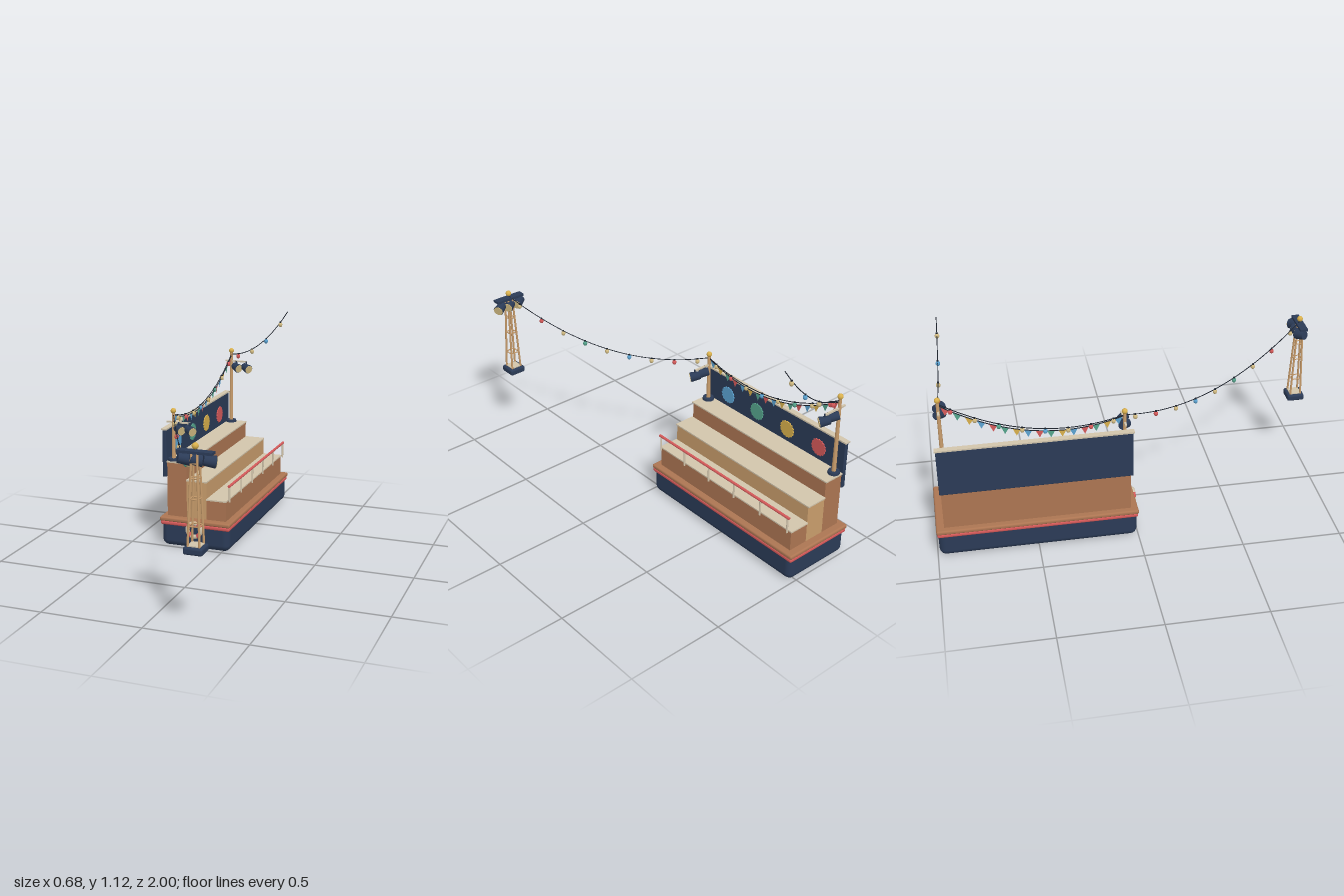
import * as THREE from 'three';
import { RoundedBoxGeometry } from 'three/addons/geometries/RoundedBoxGeometry.js';

const mat = (name, color, extra = {}) => {
  const m = new THREE.MeshStandardMaterial({ color, ...extra });
  m.name = name;
  return m;
};
const V = (x, y, z) => new THREE.Vector3(x, y, z);

export function createModel() {
  const root = new THREE.Group();
  root.name = 'floatingGrandstand';
  const navy = mat('navy', 0x2b3b57), wood = mat('wood', 0xac7552), tan = mat('tan', 0xc99d6c);
  const cream = mat('cream', 0xd2c5ac), cable = mat('cable', 0x1c222c), warm = mat('warmGlass', 0xd2bb82);
  const two = { side: THREE.DoubleSide };
  const red = mat('red', 0xd65a5a, two), yellow = mat('yellow', 0xd9b04c, two);
  const green = mat('green', 0x55a48c, two), blue = mat('blue', 0x5ba3d2, two);

  const add = (name, geo, material, x = 0, y = 0, z = 0, parent = root) => {
    const m = new THREE.Mesh(geo, material);
    m.name = name;
    m.position.set(x, y, z);
    parent.add(m);
    return m;
  };
  // Box given by its limits, optionally with rounded edges
  const box = (name, material, x0, x1, y0, y1, z0, z1, r = 0) => {
    const s = [x1 - x0, y1 - y0, z1 - z0];
    const g = r ? new RoundedBoxGeometry(...s, 4, r) : new THREE.BoxGeometry(...s);
    return add(name, g, material, (x0 + x1) / 2, (y0 + y1) / 2, (z0 + z1) / 2);
  };
  // Round bar between two points
  const bar = (name, material, a, b, r0, r1 = r0, sides = 12) => {
    const d = b.clone().sub(a);
    const m = add(name, new THREE.CylinderGeometry(r1, r0, d.length(), sides), material);
    m.position.copy(a).add(b).multiplyScalar(0.5);
    m.quaternion.setFromUnitVectors(V(0, 1, 0), d.normalize());
    return m;
  };

  // Hull, rubbing band and deck
  box('hull', navy, -0.335, 0.038, 0, 0.15, -0.99, -0.005, 0.034);
  box('rubbingBand', red, -0.338, 0.042, 0.115, 0.137, -0.995, -0.001, 0.009);
  box('deck', wood, -0.342, 0.045, 0.135, 0.158, -0.998, 0.002, 0.009);

  // Three seating steps with pale treads
  [[-0.31, -0.203, 0.445, wood], [-0.203, -0.094, 0.355, tan], [-0.094, 0.012, 0.262, wood]].forEach(([x0, x1, h, m]) => {
    box('step', m, x0, x1, 0.155, h, -0.958, -0.035);
    box('stepTread', cream, x0 - 0.001, x1 + 0.003, h, h + 0.007, -0.964, -0.029);
  });

  // Front rail
  for (let i = 0; i < 6; i++) {
    const z = -0.05 - i * 0.179;
    bar('railPost', cream, V(0.027, 0.262, z), V(0.027, 0.348, z), 0.005);
  }
  bar('handRail', red, V(0.027, 0.347, -0.04), V(0.027, 0.347, -0.955), 0.007);

  // Back board with scalloped discs
  box('backBoard', navy, -0.332, -0.311, 0.368, 0.618, -0.965, -0.025, 0.004);
  box('backBoardCap', cream, -0.336, -0.307, 0.617, 0.625, -0.97, -0.02);
  const scallop = new THREE.Shape();
  for (let i = 0; i < 32; i++) {
    const a = i * Math.PI / 16, r = i % 2 ? 0.041 : 0.046;
    scallop[i ? 'lineTo' : 'moveTo'](r * Math.cos(a), r * Math.sin(a));
  }
  const discGeo = new THREE.ExtrudeGeometry(scallop, { depth: 0.006, bevelEnabled: false });
  [blue, green, yellow, red].forEach((m, i) => {
    add('boardDisc', discGeo, m, -0.312, 0.52, -0.18 - i * 0.2085).rotation.y = Math.PI / 2;
  });

  // Life ring with red quarters
  const ring = new THREE.Group();
  ring.name = 'lifeRing';
  ring.position.set(-0.148, 0.107, 0.004);
  root.add(ring);
  for (let i = 0; i < 8; i++) {
    const arc = i % 2 ? Math.PI * 0.32 : Math.PI * 0.18;
    const seg = add('ringSegment', new THREE.TorusGeometry(0.036, 0.0115, 12, 10, arc), i % 2 ? cream : red, 0, 0, 0, ring);
    seg.rotation.z = Math.PI / 4 * (i + 1) - arc / 2;
  }

  // Spotlight aimed along a direction
  const lamp = (x, y, z, dir, s = 1) => {
    const g = new THREE.Group();
    g.name = 'spotlight';
    g.position.set(x, y, z);
    g.quaternion.setFromUnitVectors(V(0, 1, 0), dir.clone().normalize());
    g.scale.setScalar(s);
    root.add(g);
    add('lampBody', new THREE.CylinderGeometry(0.025, 0.02, 0.05, 16), navy, 0, 0, 0, g);
    add('lampLens', new THREE.CylinderGeometry(0.0225, 0.0225, 0.006, 16), warm, 0, 0.025, 0, g);
    box('lampBracket', navy, x - 0.004, x + 0.004, y, y + 0.038, z - 0.004, z + 0.004);
  };

  // Poles with foot, crossbar, lamps and finial
  const px = -0.283;
  [[-0.06, 0.705], [-0.932, 0.86]].forEach(([z, top]) => {
    add('poleFoot', new THREE.CylinderGeometry(0.028, 0.03, 0.013, 20), navy, px, 0.458, z);
    bar('pole', tan, V(px, 0.45, z), V(px, top, z), 0.011, 0.008);
    add('poleFinial', new THREE.SphereGeometry(0.014, 16, 12), yellow, px, top + 0.01, z);
    const y = top - 0.05;
    box('crossbar', cream, -0.319, -0.19, y - 0.004, y + 0.004, z - 0.005, z + 0.005);
    [-0.252, -0.192].forEach(x => lamp(x, y - 0.035, z + 0.003, V(0.8, -0.2, 0.56)));
  });

  // Lattice lamp tower
  const tx = 0.238, tz = 0.953;
  box('towerBase', navy, tx - 0.045, tx + 0.045, 0.366, 0.4, tz - 0.045, tz + 0.045, 0.01);
  box('towerBaseCap', cream, tx - 0.03, tx + 0.03, 0.399, 0.405, tz - 0.03, tz + 0.03);
  const corner = (k, y) => {
    const s = 0.027 - 0.014 * (y - 0.4) / 0.41, a = Math.PI / 4 + k * Math.PI / 2;
    return V(tx + s * Math.SQRT2 * Math.cos(a), y, tz + s * Math.SQRT2 * Math.sin(a));
  };
  for (let k = 0; k < 4; k++) {
    bar('towerLeg', tan, corner(k, 0.4), corner(k, 0.812), 0.0055, 0.0055, 8);
    [0.49, 0.56, 0.61, 0.7, 0.765].forEach((y, i) => {
      if (i !== 1) bar('towerRung', tan, corner(k, y), corner(k + 1, y), 0.003, 0.003, 6);
    });
  }
  box('towerCrossbar', navy, 0.156, 0.32, 0.808, 0.82, tz - 0.02, tz + 0.02);
  add('towerFinial', new THREE.SphereGeometry(0.015, 16, 12), yellow, tx, 0.84, tz);
  [-0.055, 0, 0.06].forEach(dx => lamp(tx + dx, 0.777, tz - 0.008, V(0.85, -0.2, -0.5), 1.1));

  // Sagging cables
  const sagPoint = (a, b, sag, t) => {
    const p = a.clone().lerp(b, t);
    p.y -= 4 * sag * t * (1 - t);
    return p;
  };
  const hang = (name, a, b, sag) => {
    const pts = Array.from({ length: 17 }, (_, i) => sagPoint(a, b, sag, i / 16));
    add(name, new THREE.TubeGeometry(new THREE.CatmullRomCurve3(pts), 40, 0.0022, 6), cable);
  };
  const bulbGeo = new THREE.SphereGeometry(0.011, 12, 10).scale(1, 1.2, 1);
  const bulbColours = [warm, red, warm, blue, warm, green];
  const lights = (a, b, sag, n, shift = 0) => {
    hang('lightCable', a, b, sag);
    for (let i = 0; i < n; i++) {
      const p = sagPoint(a, b, sag, (i + 0.5) / n);
      add('bulbSocket', new THREE.CylinderGeometry(0.005, 0.005, 0.01, 8), cable, p.x, p.y - 0.002, p.z);
      add('bulb', bulbGeo, bulbColours[(i + shift) % 6], p.x, p.y - 0.014, p.z);
    }
  };
  const front = V(px, 0.695, -0.06), back = V(px, 0.85, -0.932);
  lights(front, V(tx, 0.825, tz), 0.135, 9);
  lights(front, back, 0.105, 8);
  lights(back, V(0.06, 1.117, -0.9), 0.066, 4, 1);

  // Bunting of triangular pennants
  const bA = V(px, 0.69, -0.062), bB = V(px, 0.84, -0.93);
  hang('buntingCable', bA, bB, 0.11);
  const flags = [blue, yellow, green, red];
  for (let i = 0; i < 16; i++) {
    const t = (i + 0.5) / 16;
    const p = sagPoint(bA, bB, 0.11, t - 0.022), q = sagPoint(bA, bB, 0.11, t + 0.022);
    const tip = p.clone().add(q).multiplyScalar(0.5).add(V(0, -0.038, 0));
    const g = new THREE.BufferGeometry().setFromPoints([p, tip, q]);
    g.computeVertexNormals();
    add('pennant', g, flags[i % 4]);
  }
  return root;
}
